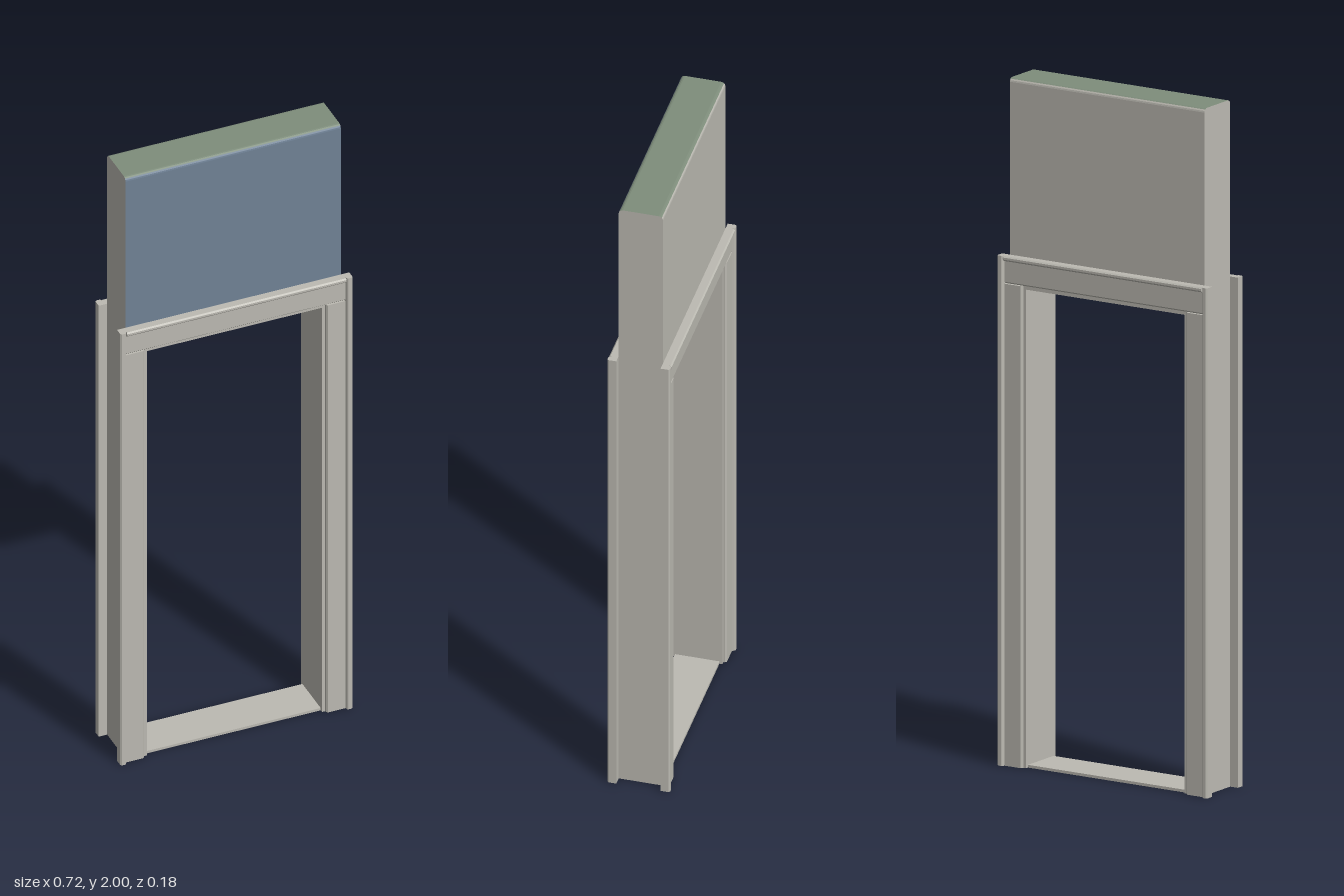
import * as THREE from 'three';

const W = 0.332, D = 0.065;          // wall half width and half depth
const OPEN = 0.27, HEAD = 1.393;     // opening half width and height
const TOP = 1.485;                   // top of the casing

export function createModel() {
  const group = new THREE.Group();
  const mat = (name, color) => {
    const m = new THREE.MeshStandardMaterial({ color });
    m.name = name;
    return m;
  };
  const grey = mat('warmGrey', 0xbcbab2);
  const blue = mat('slateBlue', 0x708296);
  const green = mat('sageGreen', 0x7e8d7b);

  const add = (name, geo, material = grey) => {
    const mesh = new THREE.Mesh(geo, material);
    mesh.name = name;
    group.add(mesh);
    return mesh;
  };
  const box = (name, x0, x1, y0, y1, z0, z1) =>
    add(name, new THREE.BoxGeometry(x1 - x0, y1 - y0, z1 - z0)
      .translate((x0 + x1) / 2, (y0 + y1) / 2, (z0 + z1) / 2));
  const extrude = (pts, depth) => new THREE.ExtrudeGeometry(
    new THREE.Shape(pts.map(([a, b]) => new THREE.Vector2(a, b))),
    { depth, bevelEnabled: false });
  // profile (x, z) swept upwards
  const sweepUp = (pts, y0, y1) => extrude(pts.map(([x, z]) => [x, -z]), y1 - y0)
    .rotateX(-Math.PI / 2).translate(0, y0, 0);
  // profile (y, z) swept across x
  const sweepAcross = (pts, half) => extrude(pts.map(([y, z]) => [-z, y]), half * 2)
    .rotateY(Math.PI / 2).translate(-half, 0, 0);

  // Upper wall panel with rounded top edges, coloured by facing
  const r = 0.012;
  const panel = [[HEAD, D], [HEAD, -D]];
  for (const s of [-1, 1]) {
    for (let i = 0; i <= 4; i++) {
      const a = (s < 0 ? i : 4 - i) / 4 * Math.PI / 2;
      panel.push([2 - r + r * Math.sin(a), s * (D - r + r * Math.cos(a))]);
    }
  }
  const panelGeo = sweepAcross(panel, W);
  panelGeo.clearGroups();
  const n = panelGeo.attributes.normal;
  for (let i = 0; i < n.count; i += 3) {
    const slot = n.getZ(i) > 0.7 ? 1 : n.getY(i) > 0.7 ? 2 : 0;
    panelGeo.addGroup(i, 3, slot);
  }
  add('upperPanel', panelGeo, [grey, blue, green]);

  // Sill
  box('sill', -OPEN, OPEN, 0, 0.008, -D, D);

  // Casing profile from the opening outwards: [distance, depth]
  const face = [[0, D], [0, 0.074], [0.01, 0.074], [0.01, 0.078], [0.014, 0.083], [0.068, 0.083], [0.068, D]];
  // Rounded outer bead, relative to its inner edge
  const bead = (w) => [[0, D], [0, 0.083], [0.003, 0.09], [0.006, 0.092],
    [w - 0.004, 0.092], [w, 0.088], [w, D]];

  for (const sx of [-1, 1]) {
    const side = sx > 0 ? 'left' : 'right';
    box(side + 'Jamb', Math.min(sx * OPEN, sx * W), Math.max(sx * OPEN, sx * W), 0, HEAD, -D, D);
    for (const sz of [-1, 1]) {
      const label = side + (sz > 0 ? 'Front' : 'Back');
      add(label + 'Casing',
        sweepUp(face.map(([u, z]) => [sx * (OPEN + u), sz * z]), 0, 1.403));
      add(label + 'Bead',
        sweepUp(bead(0.02).map(([u, z]) => [sx * (0.338 + u), sz * z]), 0, TOP));
    }
  }

  // Head casing and its top bead on both faces
  for (const sz of [-1, 1]) {
    const label = sz > 0 ? 'front' : 'back';
    add(label + 'HeadCasing',
      sweepAcross(face.map(([u, z]) => [HEAD + u * 1.12, sz * z]), 0.338));
    add(label + 'HeadBead',
      sweepAcross(bead(TOP - 1.469).map(([u, z]) => [1.469 + u, sz * z]), 0.338));
  }
  return group;
}
